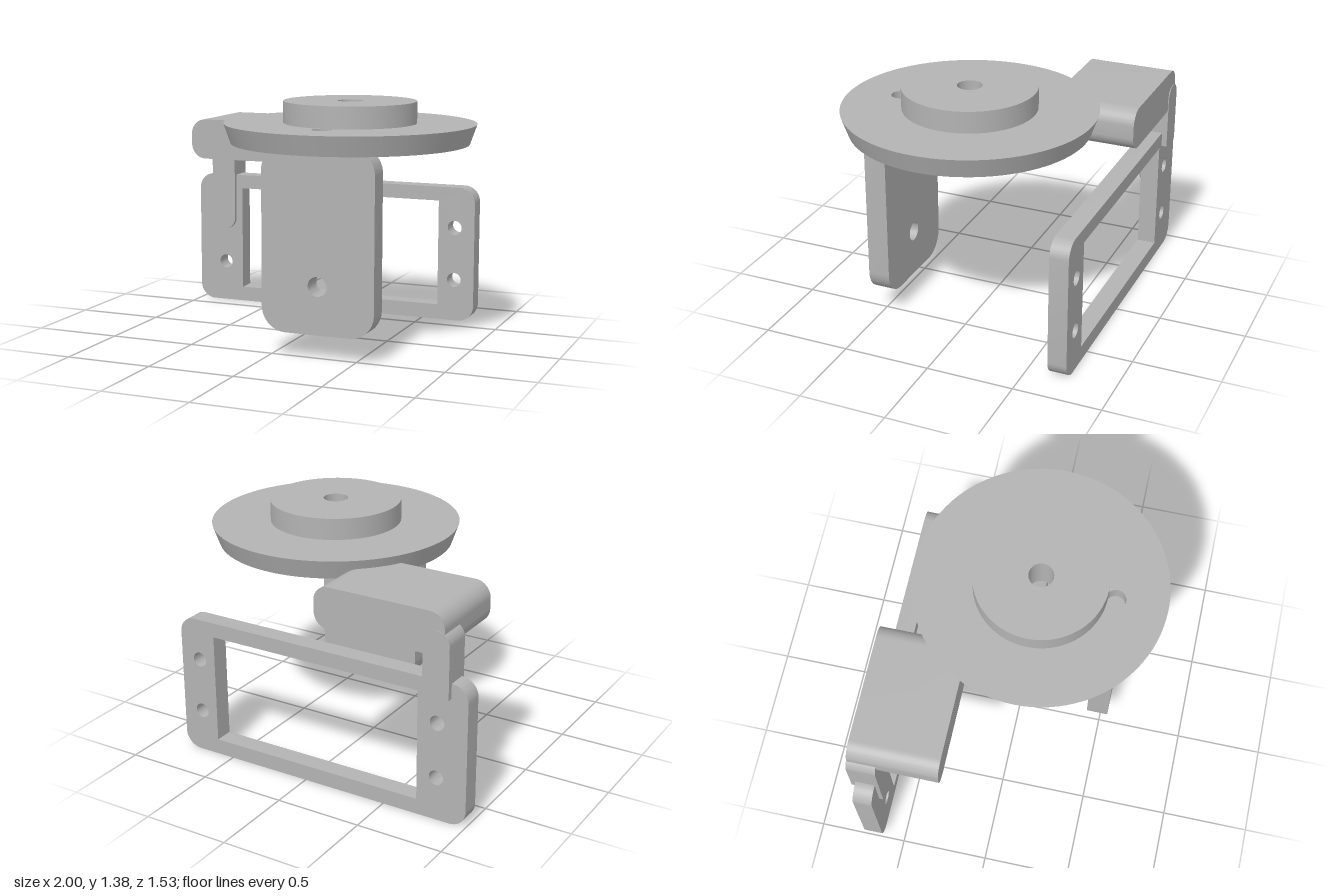
import * as THREE from 'three';
import { toCreasedNormals } from 'three/addons/utils/BufferGeometryUtils.js';

// Rectangle with separate bottom and top corner radii
function roundedRect(x0, y0, x1, y1, rBottom, rTop = rBottom) {
  const s = new THREE.Shape();
  s.moveTo(x0 + rBottom, y0);
  s.lineTo(x1 - rBottom, y0);
  if (rBottom) s.absarc(x1 - rBottom, y0 + rBottom, rBottom, -Math.PI / 2, 0);
  s.lineTo(x1, y1 - rTop);
  if (rTop) s.absarc(x1 - rTop, y1 - rTop, rTop, 0, Math.PI / 2);
  s.lineTo(x0 + rTop, y1);
  if (rTop) s.absarc(x0 + rTop, y1 - rTop, rTop, Math.PI / 2, Math.PI);
  s.lineTo(x0, y0 + rBottom);
  if (rBottom) s.absarc(x0 + rBottom, y0 + rBottom, rBottom, Math.PI, Math.PI * 1.5);
  return s;
}

function circle(x, y, r, Type = THREE.Path) {
  const c = new Type();
  c.absarc(x, y, r, 0, Math.PI * 2);
  return c;
}

function extrude(shape, depth, curveSegments = 16) {
  return new THREE.ExtrudeGeometry(shape, { depth, curveSegments, bevelEnabled: false });
}

export function createModel() {
  const model = new THREE.Group();
  model.name = 'servoBracket';
  const grey = new THREE.MeshStandardMaterial({ color: 0xb3b3b3 });
  grey.name = 'plainGrey';

  const add = (name, geometry) => {
    const mesh = new THREE.Mesh(toCreasedNormals(geometry, 0.6), grey);
    mesh.name = name;
    model.add(mesh);
    return mesh;
  };
  // Upright part running from zBack to zFront
  const addUpright = (name, shape, zBack, zFront) =>
    add(name, extrude(shape, zFront - zBack).translate(0, 0, zBack));

  // Mounting frame with a window and four screw holes
  const frame = roundedRect(-1, 0, 0.825, 0.815, 0.095);
  frame.holes.push(roundedRect(-0.705, 0.09, 0.6, 0.73, 0));
  for (const x of [-0.822, 0.702])
    for (const y of [0.25, 0.57]) frame.holes.push(circle(x, y, 0.043));
  addUpright('mountingFrame', frame, -0.737, -0.628);

  // Connecting strip: long in front of the frame, short behind it
  addUpright('stripFront', roundedRect(-0.902, 0.465, -0.747, 1.1, 0.075), -0.629, -0.605);
  addUpright('stripBack', roundedRect(-0.902, 0.73, -0.747, 1.1, 0, 0.075), -0.768, -0.629);

  // Arm block reaching under the disc
  addUpright('armBlock', roundedRect(-0.87, 0.96, -0.09, 1.2, 0.09), -0.764, -0.26);

  // Hanging front plate with its pivot hole
  const plate = roundedRect(-0.04, 0.14, 0.615, 1.17, 0.14);
  plate.holes.push(circle(0.288, 0.41, 0.055));
  addUpright('frontPlate', plate, 0.42, 0.545);

  // Round platform: an extruded disc whose lower rim is drawn inward
  const discShape = circle(0, 0, 0.71, THREE.Shape);
  discShape.holes.push(circle(0, 0, 0.07), circle(0, -0.42, 0.055));
  const disc = extrude(discShape, 0.112, 48).rotateX(-Math.PI / 2);
  const p = disc.attributes.position;
  for (let i = 0; i < p.count; i++) {
    if (p.getY(i) < 0.01 && Math.hypot(p.getX(i), p.getZ(i)) > 0.65) {
      p.setX(i, p.getX(i) * 0.945);
      p.setZ(i, p.getZ(i) * 0.945);
    }
  }
  disc.computeVertexNormals();
  add('disc', disc).position.set(0.287, 1.142, 0.055);

  // Raised hub on the disc
  const hubShape = circle(0, 0, 0.375, THREE.Shape);
  hubShape.holes.push(circle(0, 0, 0.07));
  add('hub', extrude(hubShape, 0.123, 48).rotateX(-Math.PI / 2)).position.set(0.287, 1.254, 0.055);

  return model;
}
